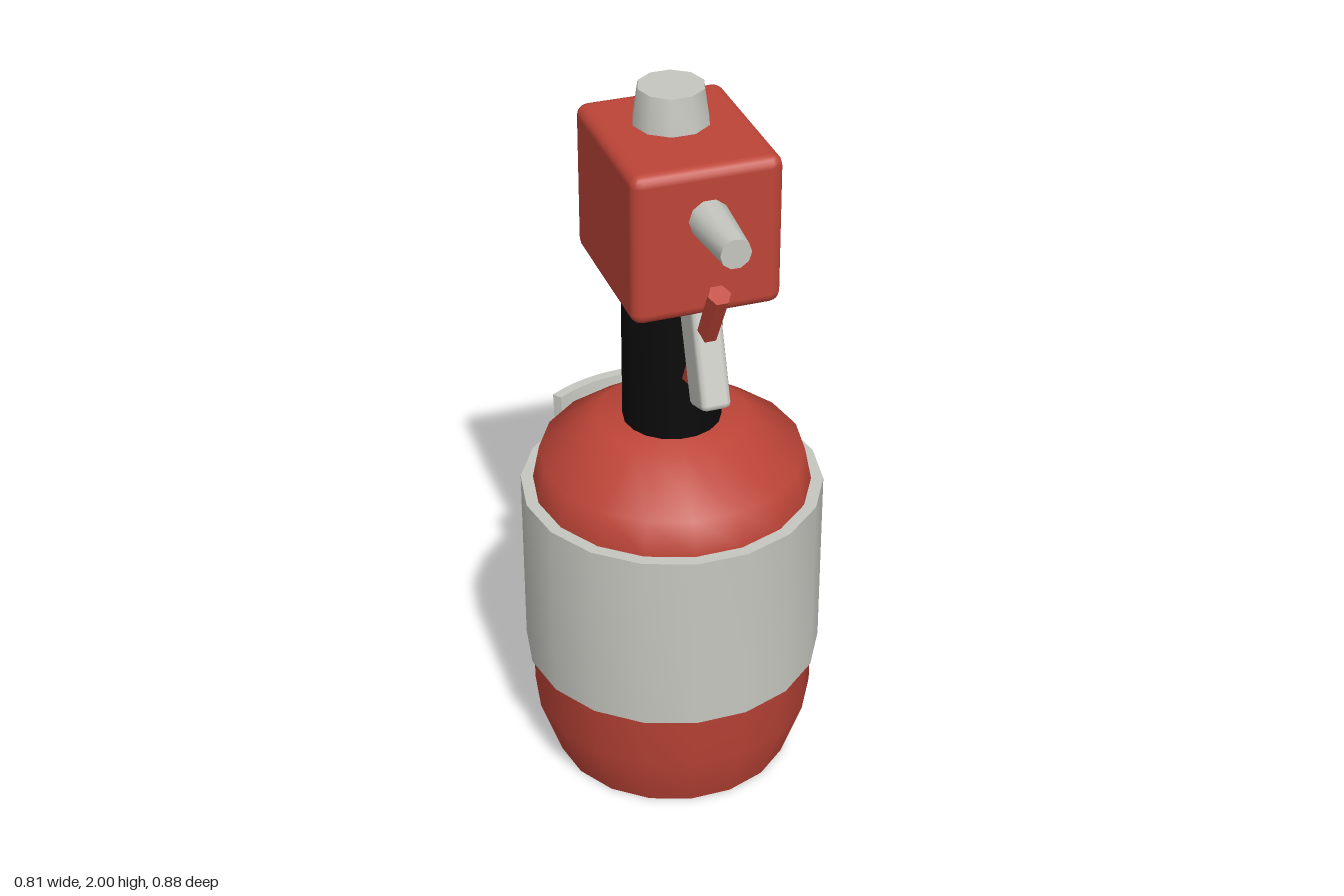
import * as THREE from 'three';
import { toCreasedNormals } from 'three/addons/utils/BufferGeometryUtils.js';
import { RoundedBoxGeometry } from 'three/addons/geometries/RoundedBoxGeometry.js';

const AXIS_Z = -0.015; // bottle axis

function material(name, color) {
  const m = new THREE.MeshStandardMaterial({ color });
  m.name = name;
  return m;
}

export function createModel() {
  const red = material('red', 0xbd4437);
  const grey = material('paleGrey', 0xc6c6c0);
  const black = material('black', 0x0b0b0b);

  const model = new THREE.Group();
  model.name = 'sprayBottle';

  function add(name, geometry, mat, x = 0, y = 0, z = 0) {
    const mesh = new THREE.Mesh(geometry, mat);
    mesh.name = name;
    mesh.position.set(x, y, z);
    model.add(mesh);
    return mesh;
  }

  // Turned solid with a corner on the x axis
  function turned(points, sides, crease = 0.9) {
    const g = new THREE.LatheGeometry(points.map(([r, y]) => new THREE.Vector2(r, y)), sides);
    g.rotateY(Math.PI / sides);
    return toCreasedNormals(g, crease);
  }

  // Curved strip of an annulus facing the back, raised to a height
  function backArc(outer, inner, halfAngle, height) {
    const mid = Math.PI / 2;
    const shape = new THREE.Shape();
    shape.absarc(0, 0, outer, mid - halfAngle, mid + halfAngle, false);
    shape.absarc(0, 0, inner, mid + halfAngle, mid - halfAngle, true);
    const g = new THREE.ExtrudeGeometry(shape, { depth: height, bevelEnabled: false, curveSegments: 6 });
    g.rotateX(-Math.PI / 2);
    return g;
  }

  // Bottle, wide band and neck
  add('bottle', turned([
    [0, 0], [0.328, 0], [0.386, 0.17], [0.386, 0.7],
    [0.373, 0.85], [0.354, 0.945], [0.2, 1.055], [0, 1.055],
  ], 18), red, 0, 0, AXIS_Z);
  add('band', turned([[0, 0.33], [0.406, 0.33], [0.406, 0.85], [0, 0.85]], 18), grey, 0, 0, AXIS_Z);
  add('neck', turned([[0, 1.04], [0.131, 1.04], [0.131, 1.52], [0, 1.52]], 18), black, 0, 0, AXIS_Z);

  // Back plate, leaning outwards towards its top
  const plate = backArc(0.4, 0.372, 0.585, 0.905);
  const pos = plate.attributes.position;
  for (let i = 0; i < pos.count; i++) {
    pos.setZ(i, pos.getZ(i) + (0.905 - pos.getY(i)) * 0.092);
  }
  plate.computeVertexNormals();
  add('backPlate', toCreasedNormals(plate, 0.6), grey, 0, 0.04, -0.04);
  add('plateBacking', backArc(0.394, 0.36, 0.55, 0.006), black, 0, 0.849, AXIS_Z);

  // Spray head, top cap and nozzle
  add('head', new RoundedBoxGeometry(0.39, 0.405, 0.46, 2, 0.03), red, 0, 1.7025, 0.03);
  add('topCap', turned([[0, 1.89], [0.102, 1.89], [0.086, 2], [0, 2]], 10, 1.1), grey, 0, 0, -0.02);
  const nozzle = turned([[0, 0], [0.054, 0], [0.04, 0.205], [0, 0.205]], 10);
  nozzle.rotateX(Math.PI / 2);
  add('nozzle', nozzle, grey, 0, 1.77, 0.24);

  // Trigger lever and the rod crossing it
  const trigger = add('trigger', new RoundedBoxGeometry(0.08, 0.36, 0.11, 1, 0.015), grey, 0, 1.42, 0.222);
  trigger.rotation.x = -0.34;

  const top = new THREE.Vector3(0, 1.6, 0.335);
  const bottom = new THREE.Vector3(0, 1.262, 0.15);
  const along = top.clone().sub(bottom);
  const rod = add('triggerRod', turned([
    [0, -along.length() / 2], [0.03, -along.length() / 2],
    [0.03, along.length() / 2], [0, along.length() / 2],
  ], 6), red);
  rod.position.copy(top).add(bottom).multiplyScalar(0.5);
  rod.quaternion.setFromUnitVectors(new THREE.Vector3(0, 1, 0), along.normalize());

  return model;
}
